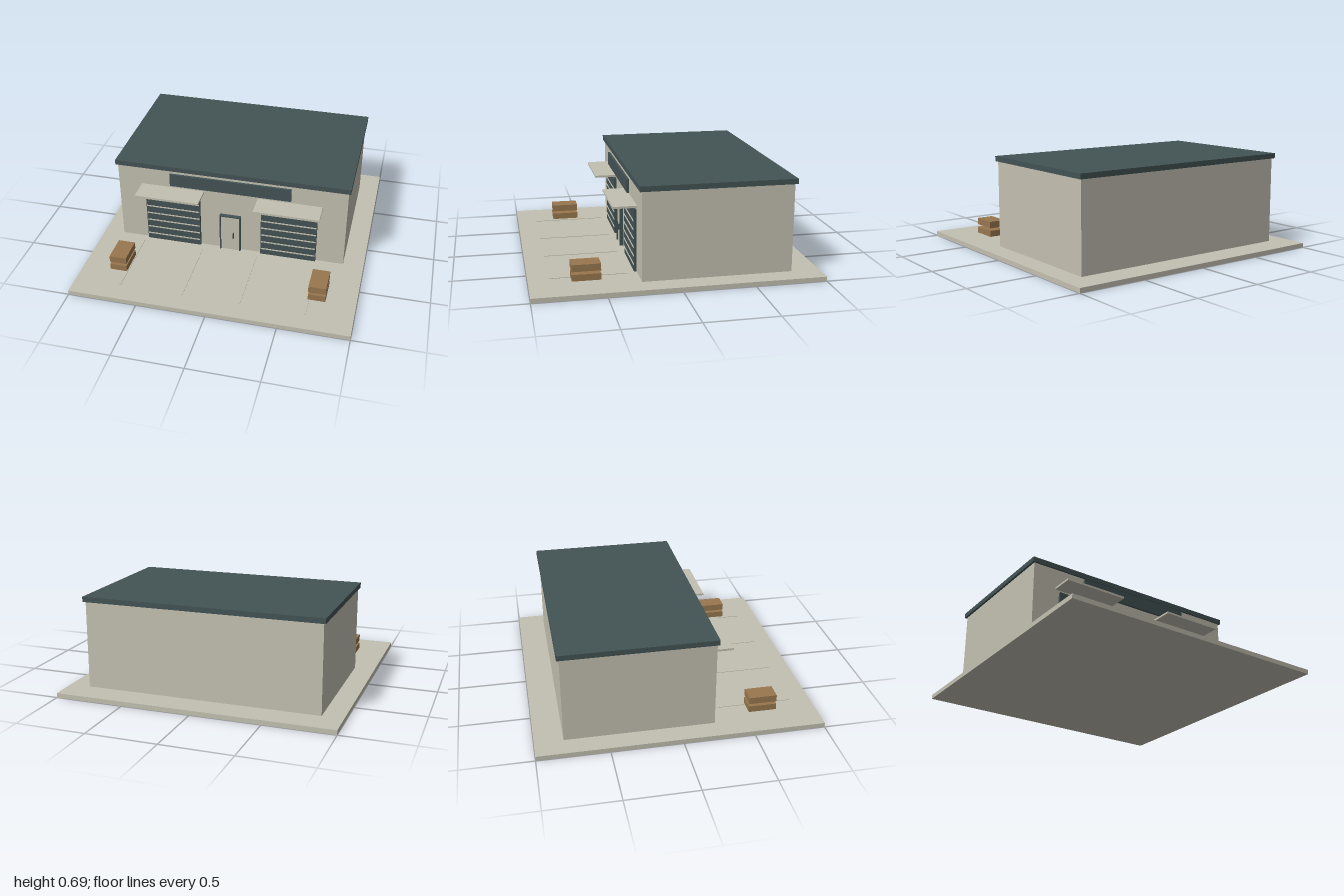
import * as THREE from 'three';

export function createModel() {
  const model = new THREE.Group();
  model.name = 'warehouse';
  const material = (name, color) => {
    const m = new THREE.MeshStandardMaterial({ color });
    m.name = name;
    return m;
  };
  const concrete = material('pale concrete', 0xc3c0b1);
  const slate = material('dark slate', 0x435354);
  const wood = material('crate wood', 0x98774f);

  // Box given by its minimum and maximum on each axis
  const box = (name, mat, [x0, x1], [y0, y1], [z0, z1], parent = model) => {
    const mesh = new THREE.Mesh(new THREE.BoxGeometry(x1 - x0, y1 - y0, z1 - z0), mat);
    mesh.position.set((x0 + x1) / 2, (y0 + y1) / 2, (z0 + z1) / 2);
    mesh.name = name;
    parent.add(mesh);
    return mesh;
  };
  const group = (name) => {
    const g = new THREE.Group();
    g.name = name;
    model.add(g);
    return g;
  };

  // Yard slab, building and flat roof
  const ground = 0.033;
  box('yardSlab', concrete, [-1, 1], [0, ground], [-1, 1]);
  box('walls', concrete, [-0.85, 0.85], [ground, 0.66], [-0.8, 0.25]);
  box('roof', slate, [-0.865, 0.865], [0.658, 0.695], [-0.817, 0.264]);
  box('signBoard', slate, [-0.448, 0.448], [0.544, 0.642], [0.266, 0.282]);

  // Loading bays: shutter, slats, canopy, bay lines and stacked crates
  for (const side of [-1, 1]) {
    const bay = group(side > 0 ? 'leftBay' : 'rightBay');
    const cx = side * 0.437;
    box('shutter', slate, [cx - 0.207, cx + 0.207], [ground, 0.477], [0.25, 0.268], bay);
    for (let i = 0; i < 6; i++) {
      const y = 0.083 + i * 0.0625;
      box('shutterSlat', concrete, [cx - 0.202, cx + 0.202], [y - 0.004, y + 0.004], [0.267, 0.273], bay);
    }
    box('canopy', concrete, [cx - 0.237, cx + 0.237], [0.498, 0.513], [0.25, 0.417], bay);
    for (const dx of [-0.23, 0.23]) {
      box('bayLine', concrete, [cx + dx - 0.006, cx + dx + 0.006], [ground, 0.037], [0.32, 0.855], bay);
    }
    const crateX = side * 0.725;
    box('lowerCrate', wood, [crateX - 0.062, crateX + 0.062], [0.046, 0.092], [0.515, 0.713], bay);
    box('upperCrate', wood, [crateX - 0.062, crateX + 0.062], [0.112, 0.161], [0.515, 0.713], bay);
  }

  // Entrance door with frame and handle
  const door = group('entranceDoor');
  box('doorLeaf', concrete, [-0.07, 0.07], [ground, 0.33], [0.25, 0.268], door);
  for (const x of [-0.0745, 0.0745]) {
    box('doorJamb', slate, [x - 0.0045, x + 0.0045], [ground, 0.337], [0.25, 0.277], door);
  }
  box('doorHead', slate, [-0.07, 0.07], [0.328, 0.337], [0.25, 0.277], door);
  box('doorHandle', slate, [0.022, 0.029], [0.143, 0.19], [0.266, 0.284], door);

  return model;
}
